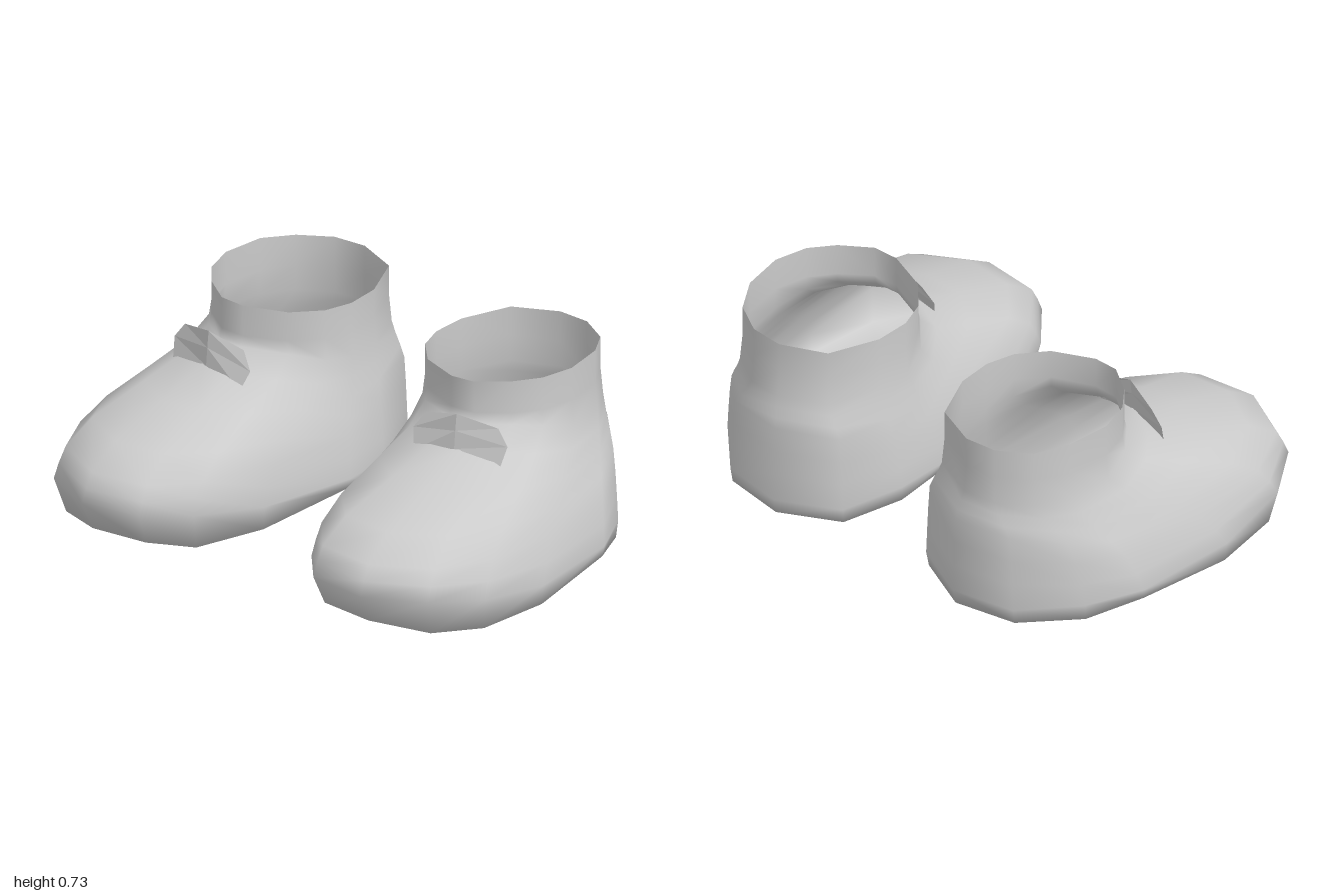
import * as THREE from 'three';

// Widest outline of the left shoe (x, z), from the heel round the outer side to the toe and back
const OUTLINE = [
  [0.43, -0.735], [0.68, -0.69], [0.86, -0.5], [0.96, -0.29], [1.0, 0.12], [0.975, 0.43], [0.86, 0.62],
  [0.64, 0.735], [0.4, 0.705], [0.27, 0.55], [0.18, 0.25], [0.115, -0.17], [0.125, -0.38], [0.2, -0.62],
];
// Ankle opening, matched point for point
const OPENING = [
  [0.45, -0.685], [0.58, -0.675], [0.7, -0.6], [0.77, -0.48], [0.795, -0.31], [0.76, -0.18], [0.69, -0.09],
  [0.58, -0.01], [0.48, -0.005], [0.32, -0.07], [0.23, -0.17], [0.195, -0.28], [0.2, -0.42], [0.28, -0.61],
];
// Upper rings: [inward share, height] at the toe, the sides and the heel
const UPPER = [
  [[0, 0.155], [0, 0.07], [0, 0.06]],
  [[0.03, 0.21], [0.1, 0.14], [0.06, 0.17]],
  [[0.07, 0.265], [0.25, 0.225], [0.12, 0.27]],
  [[0.24, 0.345], [0.45, 0.29], [0.2, 0.37]],
  [[0.58, 0.42], [0.65, 0.36], [0.45, 0.41]],
  [[0.87, 0.487], [0.85, 0.43], [0.75, 0.45]],
  [[1, 0.56], [1, 0.5], [1, 0.49]],
];

const lerp = THREE.MathUtils.lerp;
const smooth = THREE.MathUtils.smoothstep;
const toeWeight = (z) => smooth(z, 0, 0.7);
const heelWeight = (z) => smooth(-z, 0.3, 0.7);

// Underside height: raised arch before the heel and a lifted toe
const underside = (z) => 0.04 * Math.exp(-(((z + 0.22) / 0.12) ** 2)) + 0.04 * smooth(z, 0.53, 0.68);

// Skin rows of points; closed rows wrap round
function loft(rows, closed, side) {
  const n = rows[0].length;
  const index = [];
  for (let r = 0; r < rows.length - 1; r++) {
    for (let i = 0; i < (closed ? n : n - 1); i++) {
      const j = (i + 1) % n;
      const a = r * n + i, b = r * n + j, c = (r + 1) * n + j, d = (r + 1) * n + i;
      // the mirrored shoe needs the opposite winding
      if (side > 0) index.push(a, b, c, a, c, d);
      else index.push(a, c, b, a, d, c);
    }
  }
  const points = rows.flat().flatMap(([x, y, z]) => [x * side, y, z]);
  const geometry = new THREE.BufferGeometry();
  geometry.setAttribute('position', new THREE.Float32BufferAttribute(points, 3));
  geometry.setIndex(index);
  geometry.computeVertexNormals();
  return geometry;
}

function soleRing(scale) {
  return OUTLINE.map(([x, z]) => {
    const k = scale * (1 - 0.06 * toeWeight(z));
    const pz = z * k;
    return [0.55 + (x - 0.55) * k, underside(pz), pz];
  });
}

function upperRing([toe, flank, heel]) {
  return OUTLINE.map(([x, z], i) => {
    const f = toeWeight(z), b = heelWeight(z);
    const [s, y] = [0, 1].map((k) => toe[k] * f + heel[k] * b + flank[k] * (1 - f - b));
    const ax = 0.5 + (OPENING[i][0] - 0.5) * 1.03;
    const az = -0.34 + (OPENING[i][1] + 0.34) * 1.03;
    return [lerp(x, ax, s), y, lerp(z, az, s)];
  });
}

function collarRing(t) {
  return OPENING.map(([x, z]) => {
    const top = 0.712 + 0.03 * (x - 0.2) * (z > -0.5 ? 1 : 0.4);
    return [x, lerp(0.6, top, t), z];
  });
}

function makeShoe(side) {
  const shoe = new THREE.Group();
  const material = new THREE.MeshStandardMaterial({ color: 0xcccccc, side: THREE.DoubleSide });
  const add = (name, geometry, mat) => {
    const mesh = new THREE.Mesh(geometry, mat);
    mesh.name = name;
    shoe.add(mesh);
  };

  // Sole, foot and ankle collar in one smooth skin, open at the top
  const rows = [0.001, 0.4, 0.75, 0.985].map(soleRing);
  rows.push(...UPPER.map(upperRing), collarRing(0), collarRing(1));
  // outline runs clockwise from above, so rows are reversed to face outward
  add('shoeBody', loft(rows.map((row) => row.slice().reverse()), true, -side * -1), material);

  // Thin bent tab standing over the instep
  const tab = [
    [[0.4, 0.445, 0.115], [0.57, 0.49, 0.095], [0.75, 0.445, 0.06]],
    [[0.375, 0.52, 0.085], [0.57, 0.56, 0.088], [0.765, 0.53, 0.03]],
    [[0.42, 0.585, 0.065], [0.57, 0.625, 0.08], [0.72, 0.59, 0.027]],
  ];
  const flat = material.clone();
  flat.flatShading = true;
  add('instepTab', loft(tab, false, side), flat);
  return shoe;
}

export function createModel() {
  const model = new THREE.Group();
  model.name = 'pairOfShoes';
  for (const side of [1, -1]) {
    const shoe = makeShoe(side);
    shoe.name = side > 0 ? 'leftShoe' : 'rightShoe';
    model.add(shoe);
  }
  return model;
}
